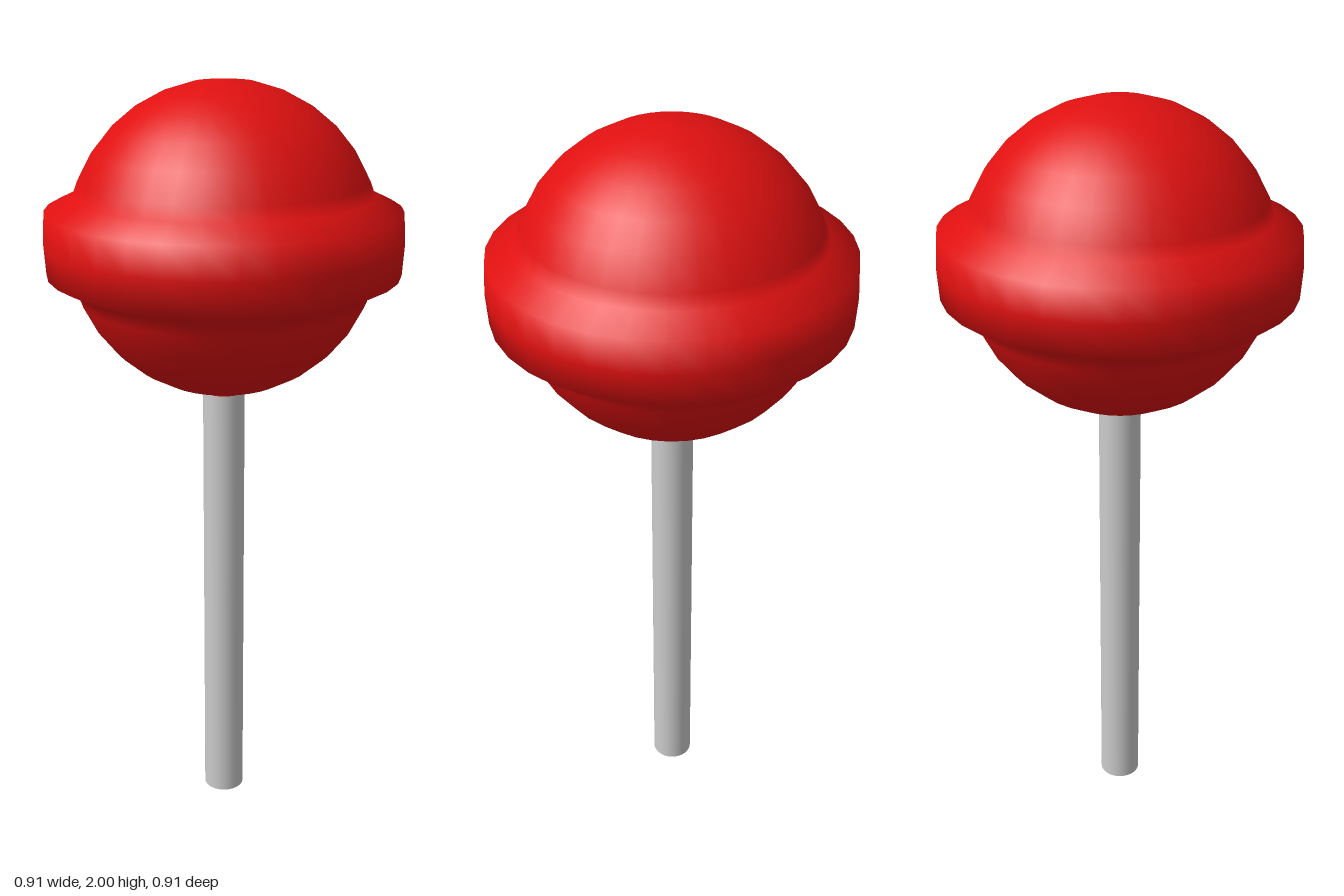
import * as THREE from 'three';

const SIDES = 32;
const CENTER = 1.605;
const RADIUS = 0.395;
const STICK_RADIUS = 0.055;

// Point on the candy ball's outline; angle is the elevation in degrees
function ballPoint(angle) {
  const a = THREE.MathUtils.degToRad(angle);
  return new THREE.Vector2(Math.max(0, RADIUS * Math.cos(a)), CENTER + RADIUS * Math.sin(a));
}

// Ball and raised belt in one smooth turned outline, from the stick collar to the top
function candyProfile() {
  const step = 11.25;
  const points = [
    new THREE.Vector2(STICK_RADIUS + 0.001, 1.206),
    new THREE.Vector2(STICK_RADIUS + 0.002, 1.215),
  ];
  for (let i = -7; i <= -2; i++) points.push(ballPoint(i * step));
  for (const [r, dy] of [[0.378, -0.115], [0.45, -0.08], [0.455, 0], [0.45, 0.08], [0.378, 0.115]]) {
    points.push(new THREE.Vector2(r, CENTER + dy));
  }
  for (let i = 2; i <= 8; i++) points.push(ballPoint(i * step));
  return points;
}

export function createModel() {
  const group = new THREE.Group();
  group.name = 'lollipop';

  const candy = new THREE.Mesh(
    new THREE.LatheGeometry(candyProfile(), SIDES),
    new THREE.MeshStandardMaterial({ color: 0xe01010 })
  );
  candy.name = 'candy';
  group.add(candy);

  // Hollow paper stick, open at the bottom
  const height = 1.22;
  const stick = new THREE.Mesh(
    new THREE.CylinderGeometry(STICK_RADIUS, STICK_RADIUS, height, SIDES, 1, true),
    new THREE.MeshStandardMaterial({ color: 0xcccccc, side: THREE.DoubleSide })
  );
  stick.name = 'stick';
  stick.position.y = height / 2;
  group.add(stick);

  return group;
}
